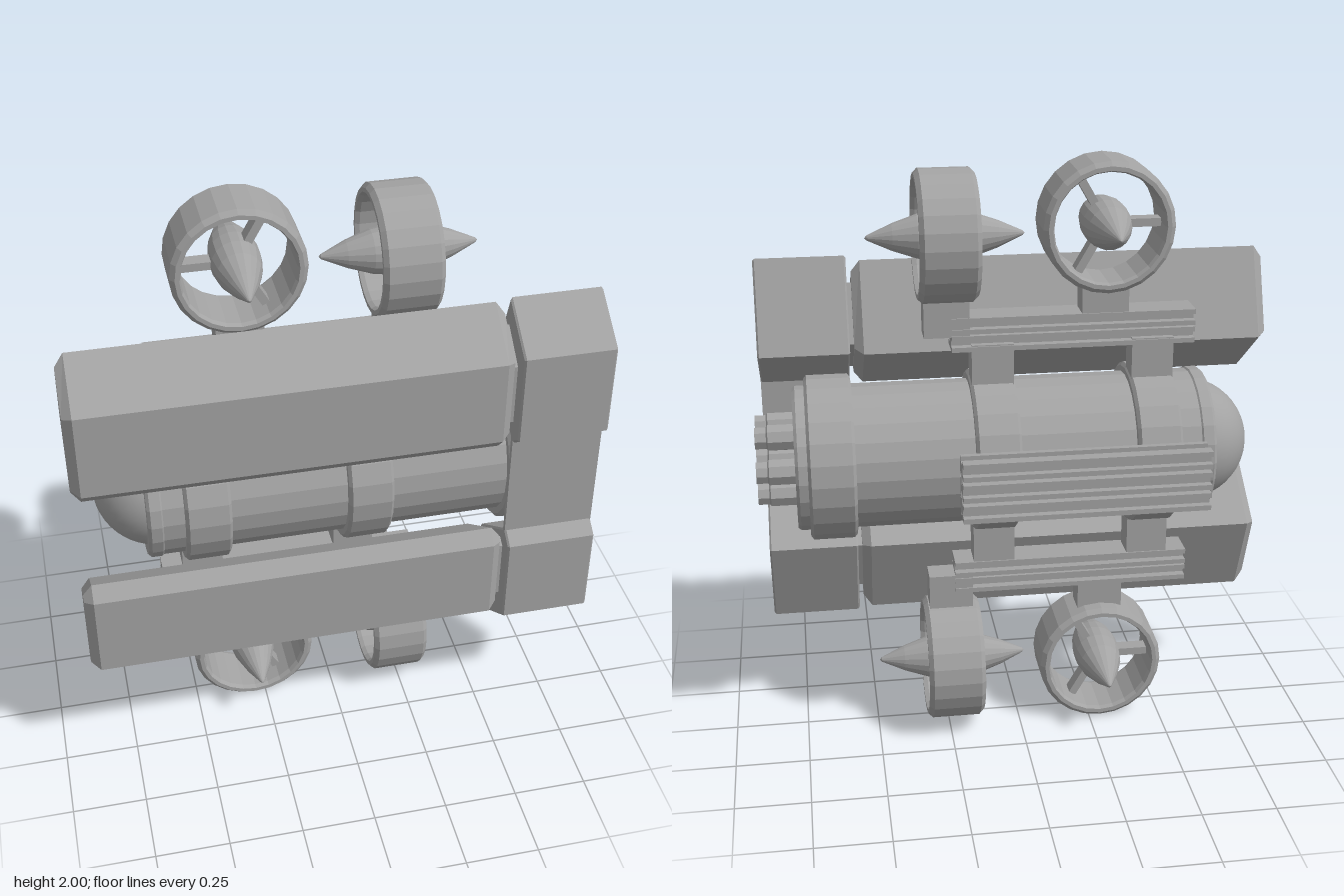
import * as THREE from 'three';

const grey = new THREE.MeshStandardMaterial({ color: 0xa3a3a3 });
grey.name = 'hull grey';

export function createModel() {
  const model = new THREE.Group();
  model.name = 'submersible';
  const CY = 1.005, CZ = 0.03; // hull axis

  const faceted = (g) => {
    const f = g.index ? g.toNonIndexed() : g;
    f.computeVertexNormals();
    return f;
  };
  const add = (name, geo, parent = model) => {
    const mesh = new THREE.Mesh(geo, grey);
    mesh.name = name;
    parent.add(mesh);
    return mesh;
  };
  // box from min / max corners
  const box = (name, x0, x1, y0, y1, z0, z1) =>
    add(name, new THREE.BoxGeometry(x1 - x0, y1 - y0, z1 - z0)
      .translate((x0 + x1) / 2, (y0 + y1) / 2, (z0 + z1) / 2));
  // turned part along x from [x, radius] pairs listed from low x to high x
  const turned = (pts, sides) => faceted(new THREE.LatheGeometry(
    pts.map(([x, r]) => new THREE.Vector2(r, x)), sides).rotateZ(-Math.PI / 2));
  // prism along x with a [z, y] cross-section and chamfered ends
  const prism = (name, section, x0, x1, bevel = 0) => {
    const shape = new THREE.Shape(section.map(([z, y]) => new THREE.Vector2(-z, y)));
    const g = new THREE.ExtrudeGeometry(shape, {
      depth: x1 - x0 - 2 * bevel, bevelEnabled: bevel > 0, bevelSegments: 1,
      bevelThickness: bevel, bevelSize: bevel, bevelOffset: -bevel,
    });
    return add(name, faceted(g.rotateY(Math.PI / 2).translate(x0 + bevel, 0, 0)));
  };
  const onAxis = (mesh) => mesh.position.set(0, CY, CZ);

  // pressure hull, nose dome and reinforcing bands
  onAxis(add('hull', turned([[-0.645, 0], [-0.645, 0.238], [-0.635, 0.248], [-0.6, 0.248],
    [-0.595, 0.243], [0.735, 0.243], [0.745, 0.235], [0.745, 0]], 24)));
  const dome = add('noseDome', new THREE.SphereGeometry(0.21, 32, 12, 0, Math.PI * 2, 0, Math.PI / 2)
    .rotateZ(Math.PI / 2));
  dome.position.set(-0.59, CY, CZ);
  for (const [x0, x1, r] of [[-0.525, -0.375, 0.275], [0.01, 0.16, 0.275], [0.55, 0.705, 0.277]]) {
    onAxis(add('hullBand', turned([[x0, 0.235], [x0, r - 0.012], [x0 + 0.01, r],
      [x1 - 0.01, r], [x1, r - 0.012], [x1, 0.235]], 24)));
  }

  // seven tail nozzles: one in the middle, six around
  const nozzle = turned([[0.73, 0.045], [0.83, 0.045], [0.835, 0.038], [0.872, 0.038],
    [0.872, 0.028], [0.86, 0.026], [0.86, 0]], 8);
  for (let i = 0; i < 7; i++) {
    const r = i < 6 ? 0.115 : 0, a = i * Math.PI / 3;
    add('tailNozzle', nozzle).position.set(0, CY + r * Math.sin(a), CZ + r * Math.cos(a));
  }

  // ducted fan built along x
  const fan = (name, x, y, z, alongZ) => {
    const g = new THREE.Group();
    g.name = name;
    add('duct', turned([[-0.082, 0.18], [-0.097, 0.186], [-0.097, 0.2], [-0.082, 0.215], [0.082, 0.215],
      [0.097, 0.2], [0.097, 0.186], [0.082, 0.18], [-0.082, 0.18]], 24), g);
    add('spinner', turned([[-0.257, 0], [-0.25, 0.008], [-0.17, 0.044], [-0.09, 0.071], [-0.03, 0.08],
      [0.03, 0.08], [0.09, 0.071], [0.17, 0.044], [0.25, 0.008], [0.257, 0]], 18), g);
    for (let i = 0; i < 3; i++) {
      const spoke = add('spoke', new THREE.BoxGeometry(0.05, 0.14, 0.027).translate(0, 0.125, 0), g);
      spoke.rotation.x = i * Math.PI * 2 / 3 + (alongZ ? -Math.PI / 2 : 0);
    }
    if (alongZ) g.rotation.y = Math.PI / 2;
    g.position.set(x, y, z);
    model.add(g);
  };

  for (const s of [1, -1]) {
    const Y = (y) => 1 + s * (y - 1);
    const side = s > 0 ? 'upper' : 'lower';
    const sect = (pts) => pts.map(([z, y]) => [z, Y(y)]);
    const span = (name, x0, x1, y0, y1, z0, z1) =>
      box(name, x0, x1, Math.min(Y(y0), Y(y1)), Math.max(Y(y0), Y(y1)), z0, z1);

    // long side float, its tail block and the neck between them
    prism(side + 'Float', sect([[0.343, 1.51], [0.175, 1.64], [0.055, 1.35], [0.3, 1.172], [0.343, 1.218]]),
      -0.875, 0.53, 0.03);
    prism(side + 'TailBlock', sect([[0.358, 1.53], [0.183, 1.655], [0.066, 1.35], [0.305, 1.18], [0.358, 1.22]]),
      0.545, 0.85, 0.006);
    prism(side + 'Neck', sect([[0.3, 1.47], [0.19, 1.56], [0.11, 1.37], [0.27, 1.24], [0.3, 1.26]]), 0.5, 0.57);

    // pylons from the bands to the equipment rail
    for (const x of [-0.45, 0.085]) span('pylon', x - 0.07, x + 0.07, 1.24, 1.40, -0.055, 0.037);
    // pair of grooved rails
    for (const y of [1.38, 1.44]) {
      prism(side + 'Rail', sect([[0.048, y], [0.048, y + 0.016], [0.02, y + 0.016], [0.02, y + 0.038],
        [0.048, y + 0.038], [0.048, y + 0.054], [-0.06, y + 0.054], [-0.06, y + 0.038],
        [-0.032, y + 0.038], [-0.032, y + 0.016], [-0.06, y + 0.016], [-0.06, y]]), -0.59, 0.22);
    }
    span('railWeb', -0.59, 0.22, 1.43, 1.445, -0.03, 0.018);

    // fans on their stems
    span('fanStem', -0.365, -0.21, 1.49, 1.6, -0.055, 0.037);
    span('fanStem', 0.16, 0.31, 1.43, 1.565, -0.055, 0.037);
    fan(side + 'CrossFan', -0.288, Y(1.785), -0.012, true);
    fan(side + 'DriveFan', 0.232, Y(1.76), -0.013, false);
  }

  // plate joining the two tail blocks
  box('tailPlate', 0.545, 0.85, 0.8, 1.2, 0.293, 0.31);

  // rear equipment rails on brackets
  for (const x of [-0.45, 0.085]) box('rearBracket', x - 0.038, x + 0.038, 0.92, 1.09, -0.29, -0.2);
  box('rearRailBase', -0.585, 0.22, 0.915, 1.09, -0.3, -0.287);
  for (const y of [0.902, 0.974, 1.046]) {
    prism('rearRail', [[-0.265, y], [-0.265, y + 0.06], [-0.285, y + 0.06], [-0.285, y + 0.045],
      [-0.32, y + 0.045], [-0.32, y + 0.06], [-0.36, y + 0.06], [-0.36, y + 0.043], [-0.335, y + 0.043],
      [-0.335, y + 0.017], [-0.36, y + 0.017], [-0.36, y], [-0.32, y], [-0.32, y + 0.015],
      [-0.285, y + 0.015], [-0.285, y]], -0.59, 0.22);
  }
  return model;
}
